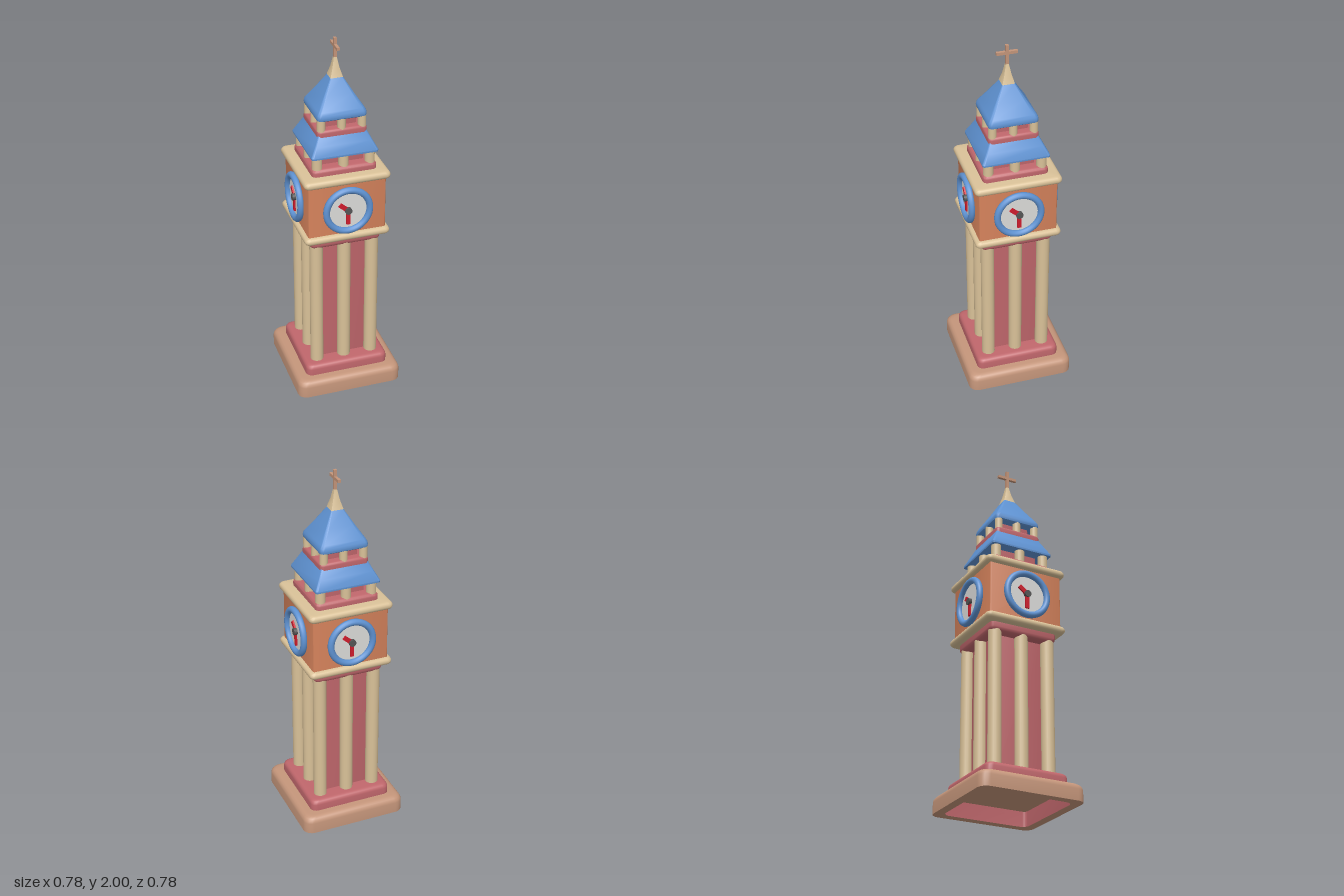
import * as THREE from 'three';
import { toCreasedNormals } from 'three/addons/utils/BufferGeometryUtils.js';

const material = (name, color) => {
  const m = new THREE.MeshStandardMaterial({ color });
  m.name = name;
  return m;
};

// Square cross-sections with rounded corners, swept along a profile of [halfWidth, y]
function squareLoft(profile, radius) {
  const steps = 5, pos = [], idx = [], n = 4 * (steps + 1);
  const widest = Math.max(...profile.map(p => p[0]));
  for (const [h, y] of profile) {
    const r = radius * h / widest;
    for (let c = 0; c < 4; c++) {
      const mid = Math.PI / 4 + c * Math.PI / 2;
      const cx = Math.sign(Math.cos(mid)) * (h - r), cz = Math.sign(Math.sin(mid)) * (h - r);
      for (let s = 0; s <= steps; s++) {
        const a = (c + s / steps) * Math.PI / 2;
        pos.push(cx + r * Math.cos(a), y, -(cz + r * Math.sin(a)));
      }
    }
  }
  for (let i = 0; i < profile.length - 1; i++) {
    for (let j = 0; j < n; j++) {
      const k = (j + 1) % n, a = i * n + j, b = i * n + k, c = b + n, d = a + n;
      if (profile[i][0] > 0) idx.push(a, b, c);
      if (profile[i + 1][0] > 0) idx.push(a, c, d);
      else if (profile[i][0] > 0) continue;
    }
  }
  const g = new THREE.BufferGeometry();
  g.setAttribute('position', new THREE.Float32BufferAttribute(pos, 3));
  g.setIndex(idx);
  return toCreasedNormals(g, 0.6);
}

// Profile of a slab with rounded lower and upper edges
function slabProfile(h, y0, y1, low, high) {
  const p = [];
  for (let i = 0; i <= 4; i++) {
    const a = i / 4 * Math.PI / 2;
    if (low > 0 || i === 4) p.push([h - low + low * Math.sin(a), y0 + low - low * Math.cos(a)]);
  }
  for (let i = 0; i <= 4; i++) {
    const a = i / 4 * Math.PI / 2;
    if (high > 0 || i === 0) p.push([h - high + high * Math.cos(a), y1 - high + high * Math.sin(a)]);
  }
  return p;
}

const closed = p => [[0, p[0][1]], ...p, [0, p[p.length - 1][1]]];

export function createModel() {
  const brown = material('brownStone', 0xc4957a);
  const red = material('redBrick', 0xbf666b);
  const cream = material('creamStone', 0xd9c198);
  const orange = material('orangeBrick', 0xd6835c);
  const blue = material('blueRoof', 0x5f93d3);
  const white = material('dialWhite', 0xdcdcda);
  const handRed = material('handRed', 0xd01c2c);
  const grey = material('hubGrey', 0x555555);

  const model = new THREE.Group();
  const tower = new THREE.Group();
  tower.name = 'clockTower';
  tower.rotation.y = -32 * Math.PI / 180;
  model.add(tower);

  const add = (name, geometry, mat, parent = tower, x = 0, y = 0, z = 0) => {
    const mesh = new THREE.Mesh(geometry, mat);
    mesh.name = name;
    mesh.position.set(x, y, z);
    parent.add(mesh);
    return mesh;
  };
  const slab = (name, mat, h, y0, y1, r, low, high) =>
    add(name, squareLoft(closed(slabProfile(h, y0, y1, low, high)), r), mat);

  // Eight columns around a square: corners and side middles
  const columns = (name, c, r, y0, y1) => {
    const g = new THREE.CylinderGeometry(r, r, y1 - y0, 20);
    for (let i = -1; i <= 1; i++)
      for (let k = -1; k <= 1; k++)
        if (i || k) add(name, g, cream, tower, i * c, (y0 + y1) / 2, k * c);
  };

  // Hollow base with a red lining under a closed ceiling
  add('base', squareLoft([[0.245, 0], ...slabProfile(0.296, 0, 0.097, 0, 0.035), [0, 0.097]], 0.05), brown);
  add('baseCeiling', squareLoft([[0, 0.085], [0.245, 0.085]], 0.02), brown);
  add('baseLining', squareLoft([[0.245, 0.085], [0.245, 0]], 0.02), red);
  slab('plinth', red, 0.234, 0.09, 0.158, 0.035, 0, 0.025);

  // Shaft
  slab('shaft', red, 0.143, 0.15, 0.91, 0.005, 0, 0);
  columns('shaftColumn', 0.156, 0.036, 0.15, 0.91);
  slab('shaftCap', red, 0.195, 0.888, 0.945, 0.025, 0.025, 0);

  // Clock storey
  slab('lowerLedge', cream, 0.235, 0.937, 0.98, 0.025, 0.021, 0.021);
  slab('clockStorey', orange, 0.213, 0.97, 1.28, 0.01, 0, 0);
  slab('upperLedge', cream, 0.235, 1.27, 1.314, 0.025, 0.021, 0.021);

  // Four clocks
  const rim = new THREE.TorusGeometry(0.119, 0.018, 12, 48);
  const dial = new THREE.CylinderGeometry(0.115, 0.115, 0.009, 40).rotateX(Math.PI / 2);
  const hub = new THREE.CylinderGeometry(0.019, 0.019, 0.022, 20).rotateX(Math.PI / 2);
  const minute = new THREE.BoxGeometry(0.021, 0.082, 0.009).translate(0, -0.041, 0);
  const hour = new THREE.BoxGeometry(0.024, 0.06, 0.009).translate(0, 0.03, 0);
  for (let i = 0; i < 4; i++) {
    const clock = new THREE.Group();
    clock.name = 'clock';
    clock.rotation.y = i * Math.PI / 2;
    tower.add(clock);
    add('clockRim', rim, blue, clock, 0, 1.12, 0.227);
    add('clockDial', dial, white, clock, 0, 1.12, 0.2175);
    add('minuteHand', minute, handRed, clock, 0, 1.12, 0.227);
    add('hourHand', hour, handRed, clock, 0, 1.12, 0.227).rotation.z = 0.87;
    add('clockHub', hub, grey, clock, 0, 1.12, 0.229);
  }

  // Lower belfry and its roof
  slab('lowerBelfryFloor', red, 0.176, 1.305, 1.353, 0.025, 0, 0.02);
  slab('lowerBelfryCore', red, 0.115, 1.34, 1.43, 0.005, 0, 0);
  columns('lowerBelfryColumn', 0.143, 0.027, 1.34, 1.43);
  add('lowerRoof', squareLoft(closed([[0.18, 1.415], [0.181, 1.425], [0.155, 1.475], [0.13, 1.524]]), 0.012), blue);

  // Upper belfry and its roof
  slab('upperBelfryFloor', red, 0.134, 1.515, 1.552, 0.02, 0, 0.015);
  slab('upperBelfryCore', red, 0.085, 1.54, 1.62, 0.005, 0, 0);
  columns('upperBelfryColumn', 0.11, 0.022, 1.54, 1.62);
  add('upperRoof', squareLoft(closed([[0.124, 1.6], [0.132, 1.606], [0.134, 1.618], [0.131, 1.633],
    [0.123, 1.648], [0.08, 1.715], [0.034, 1.792]]), 0.022), blue);

  // Spire and cross
  add('spire', squareLoft(closed([[0.034, 1.79], [0.019, 1.84], [0.008, 1.895]]), 0.001), cream);
  add('crossPost', new THREE.BoxGeometry(0.016, 0.13, 0.016), brown, tower, 0, 1.935, 0);
  add('crossBar', new THREE.BoxGeometry(0.112, 0.016, 0.016), brown, tower, 0, 1.957, 0);

  return model;
}
